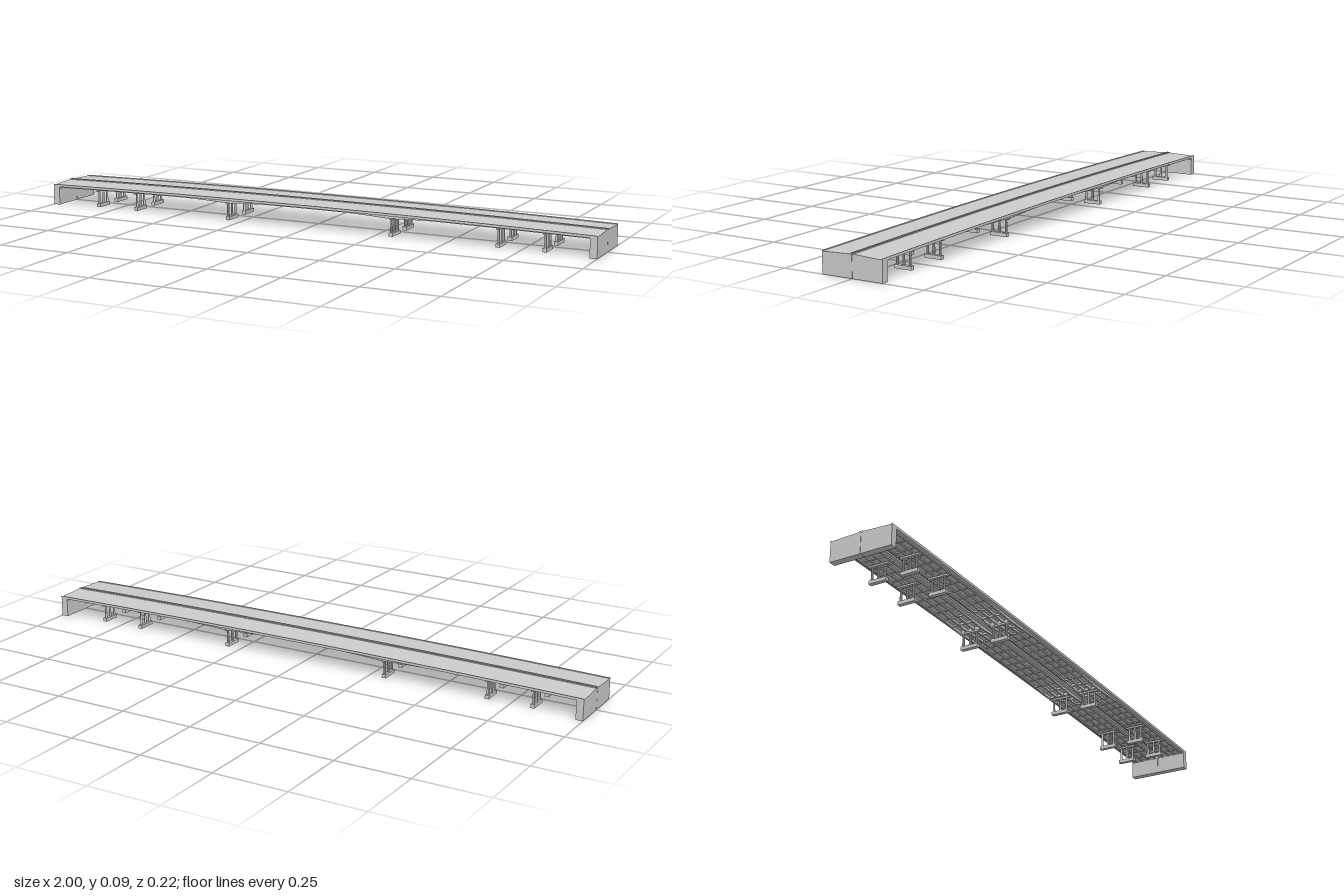
import * as THREE from 'three';

const mat = new THREE.MeshStandardMaterial({ color: 0xcccccc, flatShading: true });
const PIERS = [-0.825, -0.67, -0.303, 0.303, 0.67, 0.825];

// Road level at the inner edge, crossfall, and girder depth with haunches over the main piers
const road = (x) => 0.082 - 0.009 * x * x;
const fall = (z) => 0.04 * (Math.abs(z) - 0.003);
const haunch = (x) => Math.max(0, 1 - Math.abs(Math.abs(x) - 0.303) / 0.17);
const depth = (x) => 0.0105 + 0.0065 * haunch(x) ** 1.5;

function add(parent, name, geometry, x = 0, y = 0, z = 0) {
  const mesh = new THREE.Mesh(geometry, mat);
  mesh.name = name;
  mesh.position.set(x, y, z);
  parent.add(mesh);
  return mesh;
}

// Move each vertex's height by a rule, then refresh normals
function bend(geometry, rule) {
  const p = geometry.attributes.position;
  for (let i = 0; i < p.count; i++) p.setY(i, rule(p.getX(i), p.getY(i), p.getZ(i)));
  geometry.computeVertexNormals();
  return geometry;
}

// Box from its minimum and maximum corners
function block(parent, name, x0, x1, y0, y1, z0, z1) {
  return add(parent, name, new THREE.BoxGeometry(x1 - x0, y1 - y0, z1 - z0),
    (x0 + x1) / 2, (y0 + y1) / 2, (z0 + z1) / 2);
}

// Outline in [z, y], extruded along x and cambered
function deckSlab() {
  const pts = [[0.003, -0.004], [0.105, -0.004], [0.105, -0.0055], [0.108, -0.0055], [0.108, 0.003],
    [0.1055, 0.003], [0.105, 0], [0.006, 0], [0.0055, 0.003], [0.003, 0.003]];
  const shape = new THREE.Shape(pts.map(([z, y]) => new THREE.Vector2(z, y)));
  const g = new THREE.ExtrudeGeometry(shape, { depth: 2, steps: 48, bevelEnabled: false });
  g.translate(0, 0, -1).rotateY(Math.PI / 2);
  return bend(g, (x, y, z) => y + road(x) - fall(z));
}

// Girder: web and bottom flange, following the haunched underside
function girder(parent, z) {
  const web = new THREE.BoxGeometry(1.97, 1, 0.002, 80, 1, 1).translate(0, 0, z);
  add(parent, 'girderWeb', bend(web, (x, y) => road(x) - fall(z) - (y > 0 ? 0.003 : depth(x))));
  const flange = new THREE.BoxGeometry(1.97, 1, 0.006, 80, 1, 1).translate(0, 0, z);
  add(parent, 'girderFlange', bend(flange,
    (x, y) => road(x) - fall(z) - depth(x) + (y > 0 ? 0.001 : 0)));
}

// Pier: plinth, tapered columns and a cap beam under the girders
function pier(parent, x) {
  const g = new THREE.Group();
  g.name = 'pier';
  const main = Math.abs(x) < 0.5;
  const top = road(x) - 0.0035 - depth(x);
  block(g, 'pierFooting', x - 0.007, x + 0.007, 0, 0.012, -0.087, -0.025);
  block(g, 'pierCap', x - 0.005, x + 0.005, top - 0.005, top + 0.001, -0.092, -0.02);
  const cols = main ? [-0.081, -0.056, -0.031] : [-0.079, -0.056, -0.033];
  for (const z of cols) {
    const h = top - 0.004 - 0.011;
    const c = new THREE.CylinderGeometry(0.0035, 0.0045, h, 10);
    add(g, 'pierColumn', c, x, 0.011 + h / 2, z);
  }
  parent.add(g);
}

// Abutment half: front wall with bearing shelf, back wall, and wing cheek
function abutment(parent, s) {
  const g = new THREE.Group();
  g.name = 'abutment';
  const span = (a, b) => [Math.min(s * a, s * b), Math.max(s * a, s * b)];
  const [a, b] = span(0.976, 1);
  block(g, 'abutmentWall', a, b, 0, 0.058, -0.108, -0.0005);
  const [c, d] = span(0.987, 1);
  const back = new THREE.BoxGeometry(d - c, 1, 0.1075).translate((c + d) / 2, 0, -0.05425);
  add(g, 'abutmentBackWall', bend(back, (x, y, z) => (y > 0 ? road(x) - fall(z) - 0.003 : 0.058)));
  block(g, 'abutmentCheek', a, b, 0.058, 0.068, -0.108, -0.105);
  parent.add(g);
}

// One carriageway on the -z side
function carriageway() {
  const g = new THREE.Group();
  g.name = 'carriageway';
  add(g, 'deckSlab', deckSlab());
  const lines = [-0.016, -0.042, -0.068, -0.094];
  lines.forEach((z) => girder(g, z));
  // Cross frames between the girders
  for (let i = -19; i <= 19; i++) {
    const x = i * 0.05;
    const y = road(x) - fall(-0.055) - 0.003;
    const h = depth(x) - 0.006;
    block(g, 'crossFrame', x - 0.001, x + 0.001, y - h, y, -0.094, -0.016);
  }
  PIERS.forEach((x) => pier(g, x));
  [-1, 1].forEach((s) => abutment(g, s));
  return g;
}

export function createModel() {
  const model = new THREE.Group();
  model.name = 'twinRoadBridge';
  const rightSide = carriageway();
  const leftSide = carriageway();
  leftSide.rotation.y = Math.PI; // symmetric along x, so a half turn mirrors it
  model.add(rightSide, leftSide);
  return model;
}
